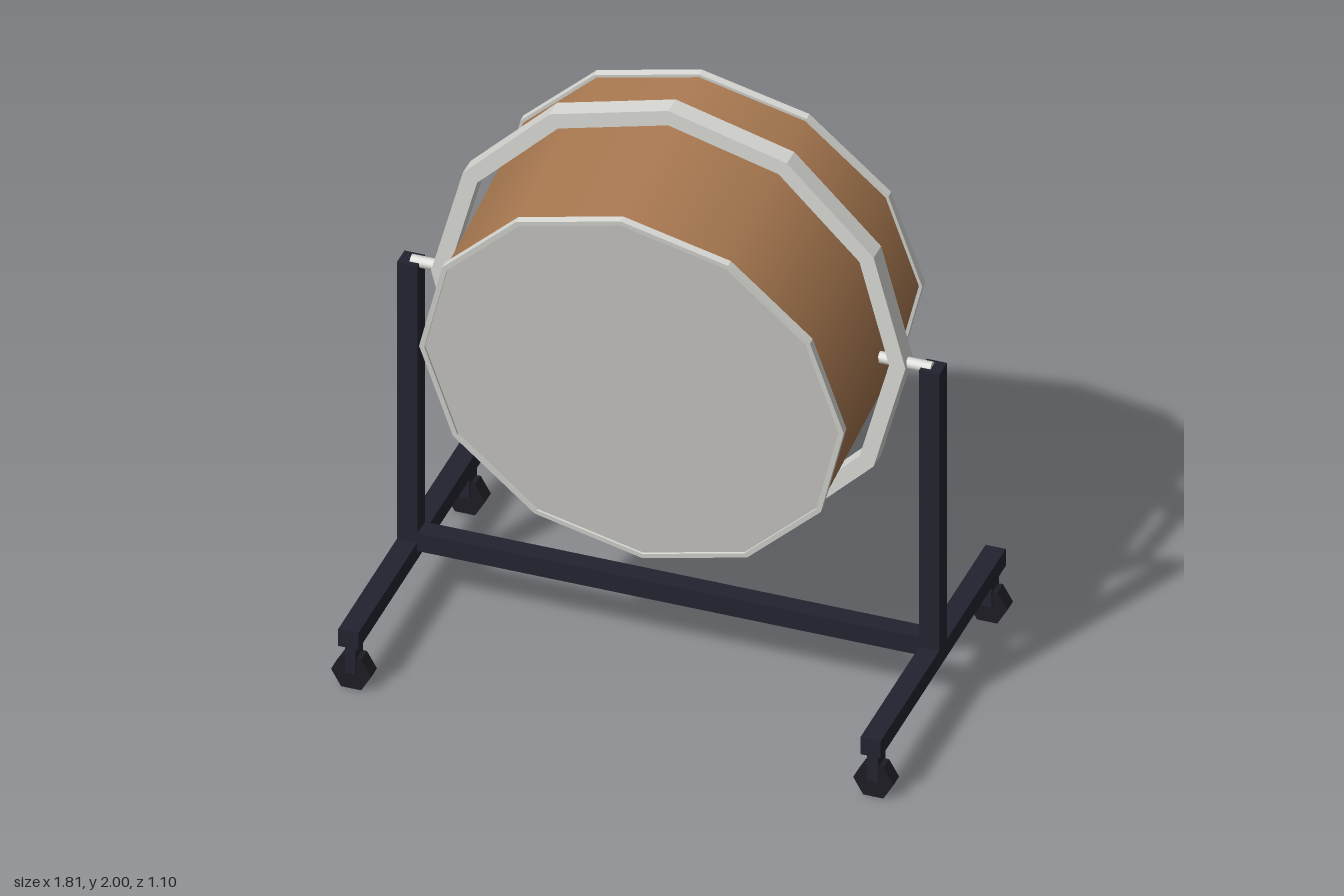
import * as THREE from 'three';

const material = (name, color, flatShading = false) => {
  const m = new THREE.MeshStandardMaterial({ color, flatShading });
  m.name = name;
  return m;
};

export function createModel() {
  const model = new THREE.Group();
  model.name = 'drumOnStand';

  const wood = material('wood', 0xa87850);
  const skin = material('drumSkin', 0xcccac6);
  const metal = material('metal', 0xd6d6d2);
  const steel = material('darkSteel', 0x23232f);
  const rubber = material('rubber', 0x1c1c24, true);

  const pivotY = 1.235;
  const sides = 12;

  const add = (parent, name, geometry, mat, x = 0, y = 0, z = 0) => {
    const mesh = new THREE.Mesh(geometry, mat);
    mesh.name = name;
    mesh.position.set(x, y, z);
    parent.add(mesh);
    return mesh;
  };
  const box = (name, w, h, d, x, y, z) =>
    add(model, name, new THREE.BoxGeometry(w, h, d), steel, x, y, z);

  // Twelve-sided hoop with a rectangular section, centred on z = 0
  const polygon = (r) => Array.from({ length: sides }, (_, i) => {
    const a = (i / sides) * Math.PI * 2;
    return new THREE.Vector2(Math.cos(a) * r, Math.sin(a) * r);
  });
  const hoop = (outer, inner, depth) => {
    const shape = new THREE.Shape(polygon(outer));
    shape.holes.push(new THREE.Path(polygon(inner).reverse()));
    return new THREE.ExtrudeGeometry(shape, { depth, bevelEnabled: false })
      .translate(0, 0, -depth / 2);
  };

  // Tilted drum: shell, two skins and their rims
  const drum = new THREE.Group();
  drum.name = 'drum';
  drum.position.y = pivotY;
  drum.rotation.x = THREE.MathUtils.degToRad(8);
  model.add(drum);
  add(drum, 'shell',
    new THREE.CylinderGeometry(0.674, 0.674, 0.69, sides, 1, true).rotateX(Math.PI / 2), wood);
  for (const s of [1, -1]) {
    const end = s > 0 ? 'front' : 'back';
    add(drum, end + 'Skin',
      new THREE.CylinderGeometry(0.672, 0.672, 0.012, sides).rotateX(Math.PI / 2),
      skin, 0, 0, s * 0.347);
    add(drum, end + 'Rim', hoop(0.685, 0.668, 0.024), metal, 0, 0, s * 0.348);
  }

  // Upright suspension ring
  add(model, 'suspensionRing', hoop(0.765, 0.712, 0.066), metal, 0, pivotY, 0);

  // Stand: crossbar, posts, feet and casters
  box('crossbar', 1.64, 0.065, 0.066, 0, 0.228, 0);
  for (const s of [1, -1]) {
    const side = s > 0 ? 'left' : 'right';
    const x = s * 0.842;
    box(side + 'Post', 0.066, 1.06, 0.066, x, 0.71, 0);
    box(side + 'Foot', 0.065, 0.062, 1.1, x, 0.195, 0);
    add(model, side + 'PivotPin',
      new THREE.CylinderGeometry(0.019, 0.019, 0.17, 12).rotateZ(Math.PI / 2),
      metal, s * 0.755, pivotY, 0);

    for (const f of [1, -1]) {
      const corner = side + (f > 0 ? 'Front' : 'Back');
      box(corner + 'CasterFork', 0.035, 0.11, 0.066, x, 0.115, f * 0.5);
      add(model, corner + 'CasterWheel',
        new THREE.CylinderGeometry(0.065, 0.065, 0.05, 6, 1, false, Math.PI / 6)
          .rotateX(Math.PI / 2),
        rubber, x, 0.0565, f * 0.5);
    }
  }

  return model;
}
